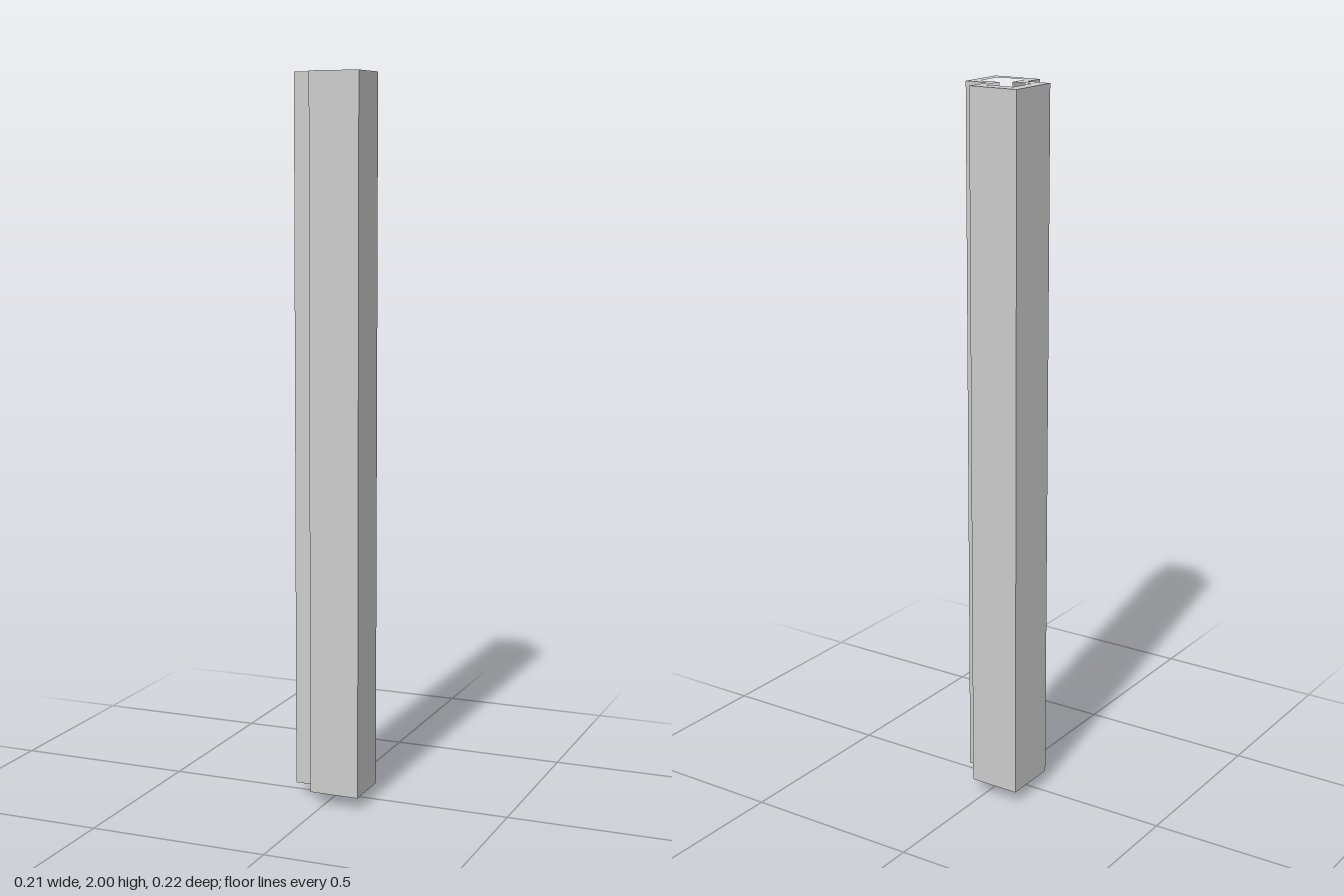
import * as THREE from 'three';

const material = new THREE.MeshStandardMaterial({ color: 0xcccccc });

// Plan points are [x, z]; the shape's y axis becomes -z once stood upright.
const toPlan = (points) => points.map(([x, z]) => new THREE.Vector2(x, -z));

function addMesh(group, name, geometry, x, y, z) {
  const mesh = new THREE.Mesh(geometry, material);
  mesh.name = name;
  mesh.position.set(x, y, z);
  group.add(mesh);
}

export function createModel() {
  const group = new THREE.Group();
  group.name = 'hollowColumn';

  // Hollow column: two overlapping squares set diagonally, open at both ends
  const outline = new THREE.Shape(toPlan([
    [-0.105, -0.11], [0.039, -0.11], [0.039, -0.07], [0.036, -0.058], [0.036, -0.031],
    [0.104, -0.031], [0.104, 0.107], [-0.037, 0.107], [-0.037, 0.048], [-0.105, 0.048],
  ]));
  outline.holes.push(new THREE.Path(toPlan([
    [-0.07, -0.07], [0.013, -0.07], [0.016, -0.058], [0.016, -0.006], [0.075, -0.006],
    [0.075, 0.078], [-0.01, 0.078], [-0.01, 0.016], [-0.07, 0.016],
  ])));
  const bottom = 0.035;
  const column = new THREE.ExtrudeGeometry(outline, { depth: 2 - bottom, bevelEnabled: false });
  column.rotateX(-Math.PI / 2);
  addMesh(group, 'column', column, 0, bottom, 0);

  // Round pins inside the column, standing out slightly below it
  const pinLength = 0.2;
  const pins = [
    ['backPin', -0.028, 0, -0.025],
    ['frontPin', 0.034, 0.015, 0.036],
  ];
  for (const [name, x, y, z] of pins) {
    const pin = new THREE.CylinderGeometry(0.021, 0.021, pinLength, 32);
    addMesh(group, name, pin, x, y + pinLength / 2, z);
  }

  return group;
}
